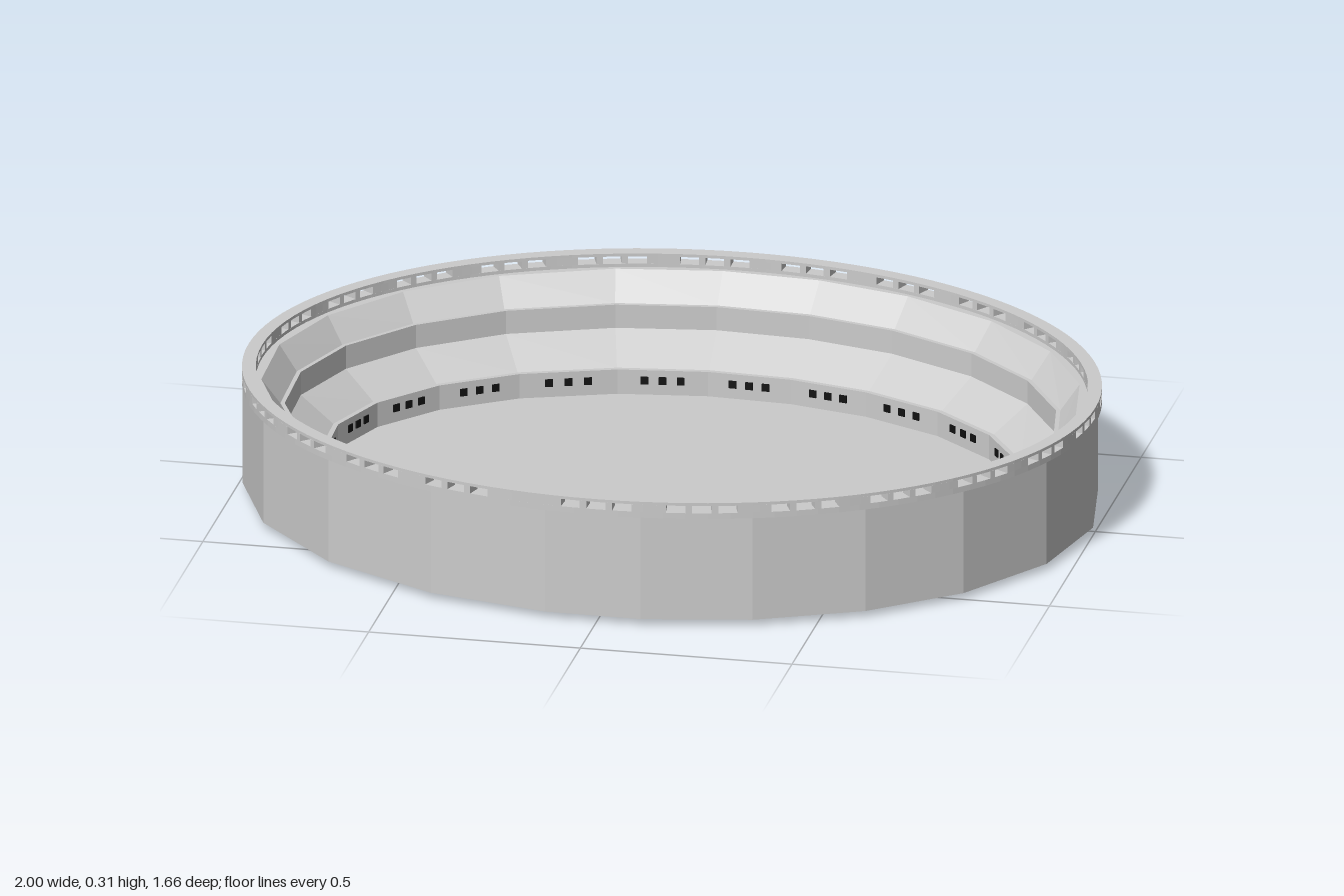
import * as THREE from 'three';

const RAD = Math.PI / 180;
const grey = new THREE.MeshStandardMaterial({ color: 0xcccccc, flatShading: true });
const dark = new THREE.MeshStandardMaterial({ color: 0x111111 });

// Corner angles of the faceted oval (degrees, 0 = +x, 90 = +z)
const CORNERS = [1, 19, 37, 53, 69, 84, 97, 114, 133, 152, 170, 187, 203, 219, 235, 252, 267, 281, 295, 311, 327, 343];

const ovalPoint = ([a, b, y], deg) => [a * Math.cos(deg * RAD), y, b * Math.sin(deg * RAD)];

const range = (from, to, steps) => Array.from({ length: steps + 1 }, (_, i) => from + (to - from) * i / steps);

// Sweep a profile of [halfWidthX, halfWidthZ, y] through a list of angles
function sweep(profile, angles, caps = false) {
  const pos = [];
  const quad = (a, b, c, d) => pos.push(...a, ...b, ...c, ...a, ...c, ...d);
  for (let j = 0; j < angles.length - 1; j++) {
    for (let i = 0; i < profile.length - 1; i++) {
      quad(ovalPoint(profile[i], angles[j]), ovalPoint(profile[i + 1], angles[j]),
        ovalPoint(profile[i + 1], angles[j + 1]), ovalPoint(profile[i], angles[j + 1]));
    }
  }
  if (caps) {
    const end = profile.slice(0, 4).map(p => ovalPoint(p, angles[angles.length - 1]));
    const start = profile.slice(0, 4).map(p => ovalPoint(p, angles[0])).reverse();
    quad(...end);
    quad(...start);
  }
  const geo = new THREE.BufferGeometry();
  geo.setAttribute('position', new THREE.Float32BufferAttribute(pos, 3));
  geo.computeVertexNormals();
  return geo;
}

// Closed rectangular section of the rim between two heights
const rimSection = (y0, y1) => [
  [0.968, 0.795, y0], [1, 0.83, y0], [1, 0.83, y1], [0.968, 0.795, y1], [0.968, 0.795, y0],
];

export function createModel() {
  const group = new THREE.Group();
  const add = (name, geo, mat = grey, parent = group) => {
    const mesh = new THREE.Mesh(geo, mat);
    mesh.name = name;
    parent.add(mesh);
    return mesh;
  };

  // Faceted bowl: underside, outer wall, two sloped tiers and floor
  const floorEdge = [0.81, 0.59, 0.035];
  add('bowl', sweep([
    [0, 0, 0.015], [0.998, 0.828, 0.015], [0.998, 0.828, 0.272], [0.955, 0.785, 0.272],
    [0.912, 0.717, 0.212], [0.902, 0.706, 0.212], [0.902, 0.706, 0.155],
    [0.822, 0.602, 0.095], [0.81, 0.59, 0.095], floorEdge, [0, 0, 0.035],
  ], [...CORNERS, CORNERS[0] + 360]));

  // Smooth oval base plate
  const base = new THREE.CylinderGeometry(1, 1, 0.02, 72);
  base.scale(0.91, 1, 0.7);
  add('basePlate', base).position.y = 0.01;

  // Rim: two rings joined by piers that leave groups of three windows
  const rim = new THREE.Group();
  rim.name = 'rim';
  group.add(rim);
  const round = range(0, 360, 120);
  add('rimLowerRing', sweep(rimSection(0.266, 0.28), round), grey, rim);
  add('rimUpperRing', sweep(rimSection(0.298, 0.305), round), grey, rim);
  const GROUPS = 25, PITCH = 340 / 24, WINDOW = 2.6, POST = 0.9;
  const half = (3 * WINDOW + 2 * POST) / 2;
  for (let g = 0; g < GROUPS; g++) {
    const mid = 110 + g * PITCH;
    const next = g === GROUPS - 1 ? 470 : mid + PITCH;
    add('rimPier', sweep(rimSection(0.28, 0.298), range(mid + half, next - half, 3), true), grey, rim);
    for (const side of [-1, 1]) {
      const c = mid + side * (WINDOW + POST) / 2;
      add('rimPost', sweep(rimSection(0.28, 0.298), [c - POST / 2, c + POST / 2], true), grey, rim);
    }
  }

  // Openings in the wall around the floor: three per facet, one doorway
  const openings = new THREE.Group();
  openings.name = 'floorWallOpenings';
  group.add(openings);
  CORNERS.forEach((deg, i) => {
    const p = new THREE.Vector3(...ovalPoint(floorEdge, deg));
    const q = new THREE.Vector3(...ovalPoint(floorEdge, CORNERS[(i + 1) % CORNERS.length]));
    const turn = Math.atan2(p.z - q.z, q.x - p.x);
    const place = (name, f, w, h, y) => {
      const mesh = add(name, new THREE.BoxGeometry(w, h, 0.006), dark, openings);
      mesh.position.lerpVectors(p, q, f).setY(y);
      mesh.rotation.y = turn;
    };
    if (deg === 97) place('doorway', 0.5, 0.07, 0.045, 0.062);
    else for (const f of [0.3, 0.5, 0.7]) place('wallOpening', f, 0.018, 0.018, 0.07);
  });

  return group;
}
